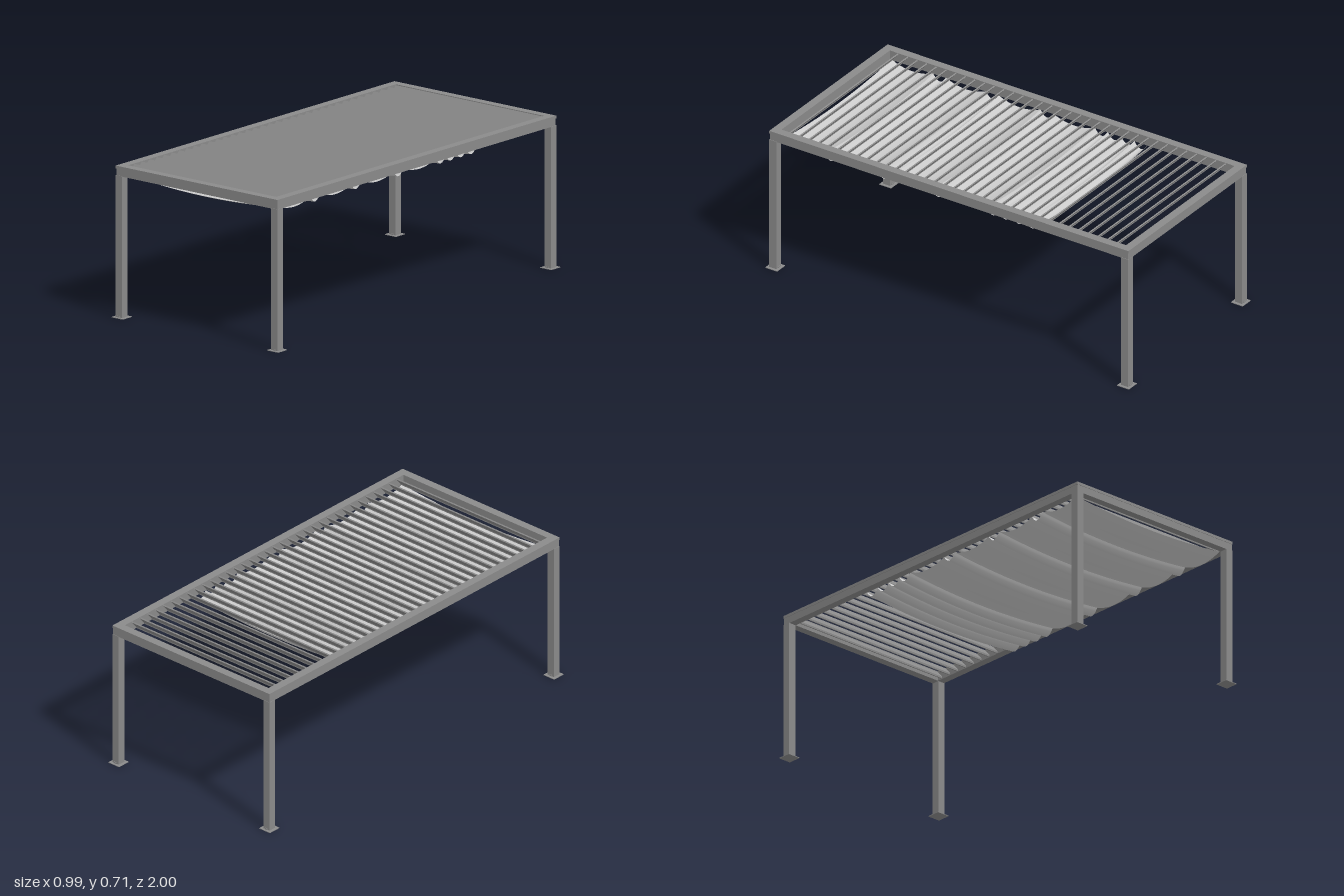
import * as THREE from 'three';

const metal = new THREE.MeshStandardMaterial({ color: 0x8a8a8a });
const cloth = new THREE.MeshStandardMaterial({ color: 0xcccccc, side: THREE.DoubleSide });

function box(parent, name, w, h, d, x, y, z) {
  const mesh = new THREE.Mesh(new THREE.BoxGeometry(w, h, d), metal);
  mesh.position.set(x, y, z);
  mesh.name = name;
  parent.add(mesh);
}

// Slat section in (z, y): a sloping blade with a short lip hanging from its front edge
function louvreGeometry() {
  const section = new THREE.Shape([
    [0.017, -0.013], [-0.013, 0.0215], [-0.0176, 0.0176],
    [0.0124, -0.0169], [0.0124, -0.022], [0.017, -0.022],
  ].map(([z, y]) => new THREE.Vector2(z, y)));
  const geo = new THREE.ExtrudeGeometry(section, { depth: 0.884, bevelEnabled: false });
  geo.translate(0, 0, -0.442);
  geo.rotateY(-Math.PI / 2);
  return geo;
}

// One hanging fold of cloth between z0 and z1, sagging along z and across x
function swag(z0, z1, depth) {
  const half = 0.442;
  const geo = new THREE.PlaneGeometry(2, 2, 24, 14);
  const p = geo.attributes.position;
  for (let i = 0; i < p.count; i++) {
    const u = p.getX(i), v = p.getY(i);
    const y = 0.669 - 0.026 * (1 - u * u) - depth * (1 - v * v);
    p.setXYZ(i, u * half, y, z0 + (z1 - z0) * (1 - v) / 2);
  }
  geo.computeVertexNormals();
  const mesh = new THREE.Mesh(geo, cloth);
  mesh.name = 'canopyFold';
  return mesh;
}

export function createModel() {
  const model = new THREE.Group();
  model.name = 'pergola';

  // Posts with base plates and small foot brackets
  for (const sx of [-1, 1]) for (const sz of [-1, 1]) {
    const post = new THREE.Group();
    post.name = 'post';
    const x = sx * 0.462, z = sz * 0.968;
    box(post, 'postShaft', 0.038, 0.668, 0.039, x, 0.336, z);
    box(post, 'basePlate', 0.065, 0.003, 0.065, x, 0.0015, sz * 0.9675);
    box(post, 'footBracket', 0.014, 0.008, 0.044, x, 0.006, z);
    model.add(post);
  }

  // Perimeter beams: a body with a slightly proud cap
  const frame = new THREE.Group();
  frame.name = 'roofFrame';
  for (const s of [-1, 1]) {
    box(frame, 'sideBeam', 0.038, 0.034, 1.972, s * 0.46, 0.685, 0);
    box(frame, 'sideBeamCap', 0.041, 0.013, 1.976, s * 0.4605, 0.7085, 0);
    box(frame, 'endBeam', 0.882, 0.034, 0.038, 0, 0.685, s * 0.967);
    box(frame, 'endBeamCap', 0.88, 0.013, 0.04, 0, 0.7085, s * 0.968);
  }
  model.add(frame);

  // Tilted louvres, leaning down toward the front
  const louvres = new THREE.Group();
  louvres.name = 'louvres';
  const slat = louvreGeometry();
  for (let i = 0; i < 36; i++) {
    const louvre = new THREE.Mesh(slat, metal);
    louvre.name = 'louvre';
    louvre.position.set(0, 0.692, -0.937 + i * 0.053);
    louvres.add(louvre);
  }
  model.add(louvres);

  // Draped canopy: wide folds with narrow gathers, bunched at its rear end
  const canopy = new THREE.Group();
  canopy.name = 'canopy';
  const joins = [0.94, 0.71, 0.64, 0.42, 0.35, 0.12, 0.05, -0.18, -0.25, -0.323, -0.396, -0.468];
  for (let i = 0; i < joins.length - 1; i++) {
    const wide = joins[i] - joins[i + 1] > 0.1;
    canopy.add(swag(joins[i], joins[i + 1], wide ? 0.025 : 0.03));
  }
  model.add(canopy);

  return model;
}
